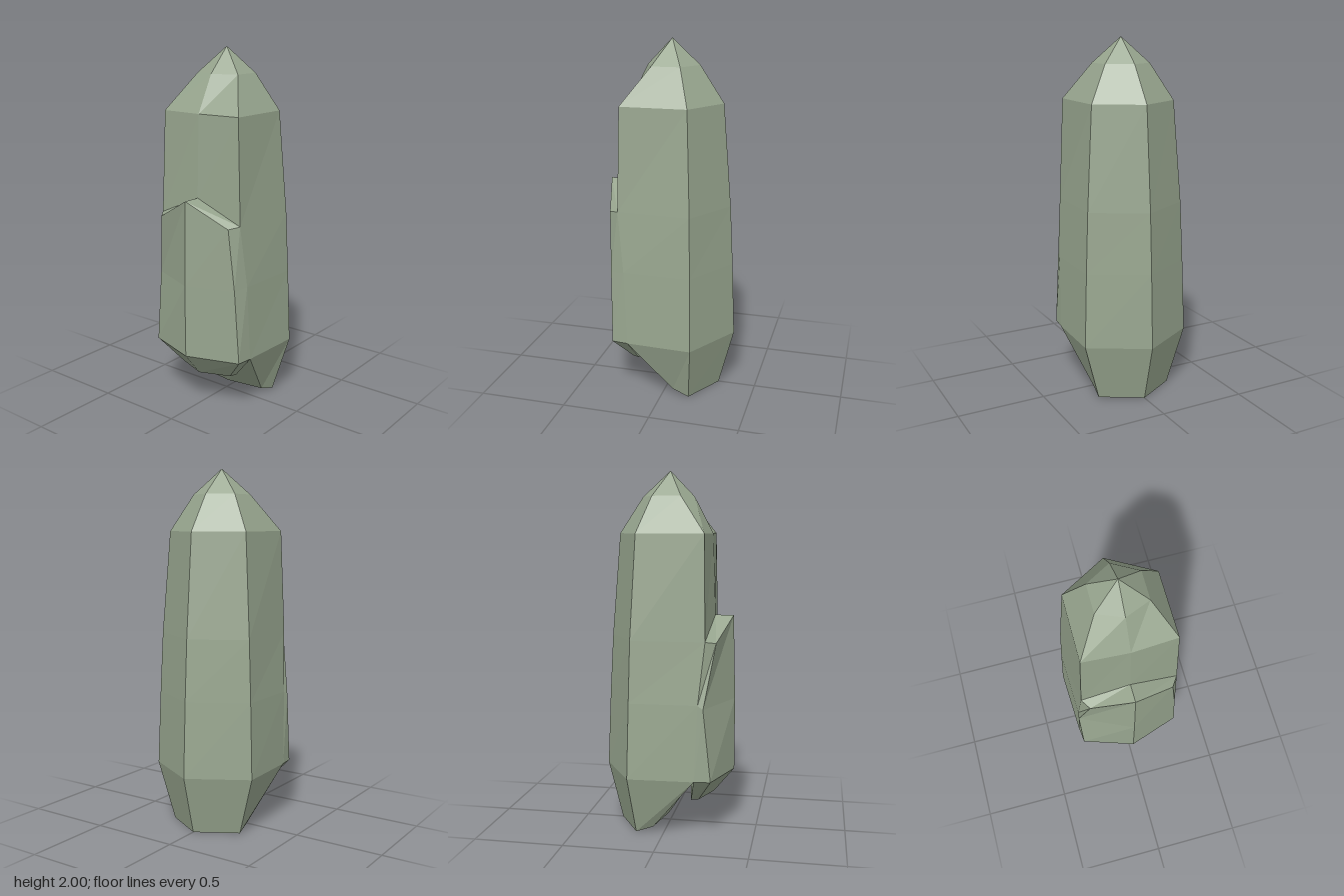
import * as THREE from 'three';

// Half rings run from the right point (+x) round the front (+z) to the left point (-x).
const tipRings = [
  [[0, 2, 0], [0, 2, 0], [0, 2, 0], [0, 2, 0], [0, 2, 0]],
  [[0.155, 1.86, 0], [0.078, 1.86, 0.136], [-0.08, 1.86, 0.136], [-0.08, 1.86, 0.136], [-0.135, 1.86, 0]],
  [[0.288, 1.66, 0], [0.145, 1.66, 0.25], [-0.225, 1.66, 0.25], [-0.225, 1.66, 0.25], [-0.24, 1.66, 0]],
];
const bodyRings = [
  tipRings[2],
  // inner and outer edge of the broken ledge
  [[0.335, 1.09, 0], [0.17, 1.09, 0.29], [-0.235, 1.09, 0.272], [-0.235, 1.09, 0.272], [-0.255, 1.21, 0]],
  [[0.335, 1.09, 0], [0.17, 1.09, 0.29], [-0.235, 1.09, 0.272], [-0.29, 1.08, 0.235], [-0.358, 1.21, 0]],
  [[0.353, 0.75, 0], [0.177, 0.75, 0.305], [-0.2, 0.75, 0.295], [-0.28, 0.74, 0.27], [-0.37, 0.74, 0]],
  [[0.37, 0.33, 0], [0.185, 0.33, 0.32], [-0.182, 0.33, 0.305], [-0.272, 0.33, 0.295], [-0.37, 0.33, 0]],
];

const mirror = ([x, y, z]) => [x, y, -z];

// Flat mesh from convex polygons, each cut into a fan
function facets(name, polygons, material) {
  const points = [];
  const same = (a, b) => a.every((v, i) => Math.abs(v - b[i]) < 1e-6);
  for (const p of polygons) {
    for (let i = 1; i < p.length - 1; i++) {
      const t = [p[0], p[i], p[i + 1]];
      if (same(t[0], t[1]) || same(t[1], t[2]) || same(t[0], t[2])) continue;
      points.push(...t.flat());
    }
  }
  const geometry = new THREE.BufferGeometry();
  geometry.setAttribute('position', new THREE.Float32BufferAttribute(points, 3));
  geometry.computeVertexNormals();
  const mesh = new THREE.Mesh(geometry, material);
  mesh.name = name;
  return mesh;
}

// Front polygons between successive half rings
function bands(rings) {
  const polygons = [];
  for (let k = 0; k < rings.length - 1; k++) {
    for (let i = 0; i < 4; i++) {
      polygons.push([rings[k][i], rings[k][i + 1], rings[k + 1][i + 1], rings[k + 1][i]]);
    }
  }
  return polygons;
}

const mirrored = (polygons) => polygons.map((p) => p.map(mirror).reverse());

export function createModel() {
  const stone = new THREE.MeshStandardMaterial({ color: 0x98a68f, flatShading: true });
  stone.name = 'greyGreenStone';
  const model = new THREE.Group();
  model.name = 'crystal';

  // Pointed tip
  const tip = bands(tipRings);
  model.add(facets('tip', [...tip, ...mirrored(tip)], stone));

  // Tapered body with the ledge; the back ledge edge is nicked inwards
  const backRings = bodyRings.map((r) => r.map((p) => [...p]));
  backRings[3][3] = [-0.23, 0.73, 0.3];
  model.add(facets('body', [...bands(bodyRings), ...mirrored(bands(backRings))], stone));

  // Foot, cleft and the broken lower end of the side slab
  const [r, fr, f1, f2, l] = bodyRings[4];
  const footRight = [0.285, 0, 0], footFront = [0.155, 0, 0.225];
  const footChip = [0.06, 0.03, 0.212], footLeft = [0.01, 0.04, 0];
  const cleft = [-0.12, 0.23, 0];
  const slabIn = [-0.14, 0.19, 0], slabFrontIn = [-0.15, 0.19, 0.185];
  const slabFrontOut = [-0.19, 0.19, 0.17], slabOut = [-0.255, 0.19, 0];
  const foot = [
    [r, fr, footFront, footRight],
    [fr, f1, footChip, footFront],
    [footRight, footFront, footChip, footLeft],
    [f1, cleft, footLeft, footChip],
  ];
  const slab = [
    [f1, slabFrontIn, slabIn, cleft],
    [f1, f2, slabFrontOut, slabFrontIn],
    [f2, l, slabOut, slabFrontOut],
    [slabFrontIn, slabFrontOut, slabOut, slabIn],
  ];
  model.add(facets('foot', [...foot, ...mirrored(foot)], stone));
  model.add(facets('sideSlabEnd', [...slab, ...mirrored(slab)], stone));
  return model;
}
